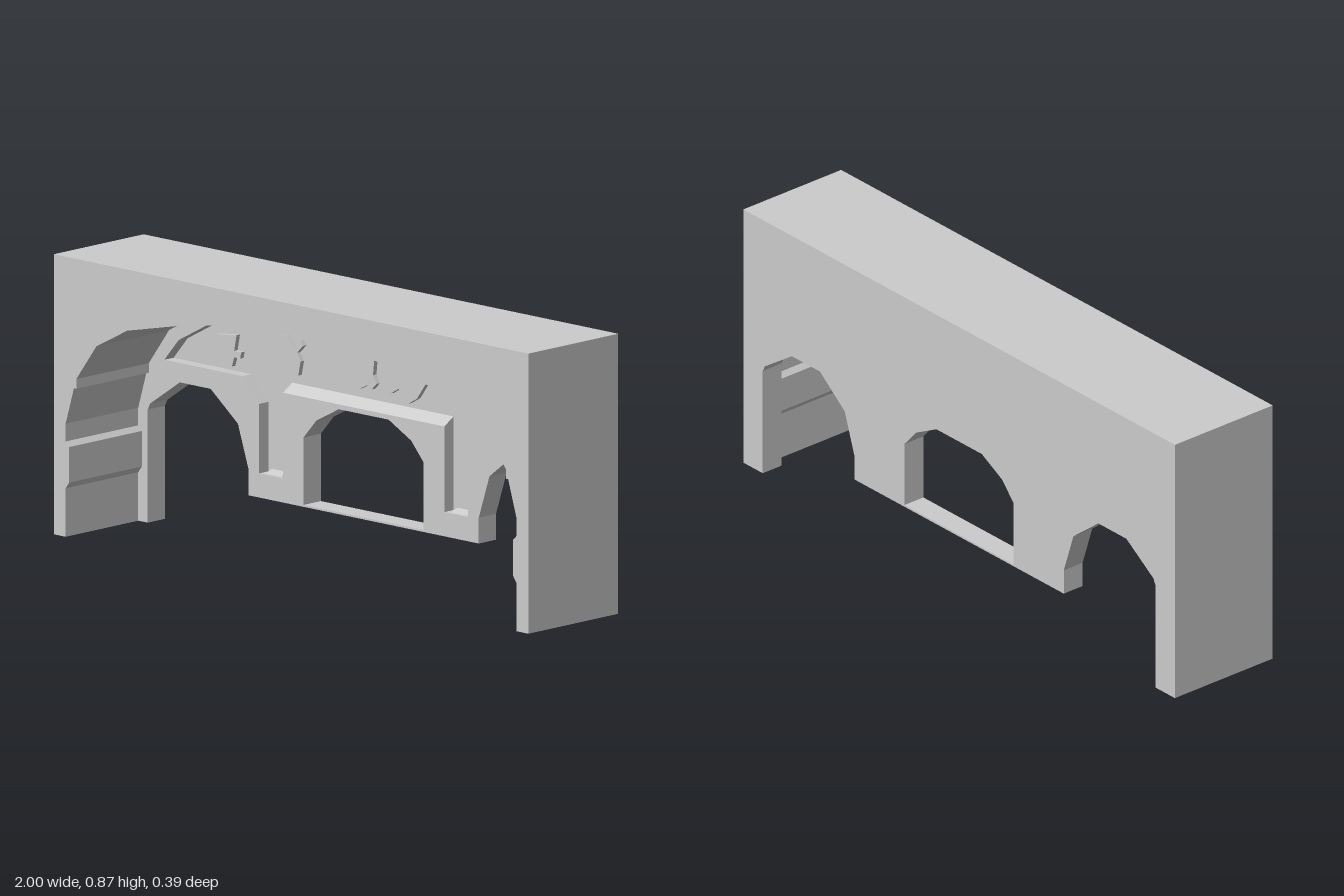
import * as THREE from 'three';

const BACK = -0.195, FLOOR = -0.16, WALL = -0.12, FRONT = 0.195;

// Mirrors a half outline (ordered from -x towards the middle) into a full one.
const mirror = (half) => half.concat(half.map(([x, y]) => [-x, y]).reverse());
const toShape = (pts, Type = THREE.Shape) => new Type(pts.map(([x, y]) => new THREE.Vector2(x, y)));

export function createModel() {
  const group = new THREE.Group();
  const material = new THREE.MeshStandardMaterial({ color: 0xcccccc, flatShading: true });

  function addMesh(name, geometry) {
    const mesh = new THREE.Mesh(geometry, material);
    mesh.name = name;
    group.add(mesh);
    return mesh;
  }

  // Slab between two depths, with optional holes.
  function addSlab(name, pts, z0, z1, holes = []) {
    const shape = toShape(pts);
    shape.holes = holes.map((h) => toShape(h, THREE.Path));
    const geometry = new THREE.ExtrudeGeometry(shape, { depth: z1 - z0, bevelEnabled: false });
    geometry.translate(0, 0, z0);
    return addMesh(name, geometry);
  }

  // Triangular profile in (z, y), swept along x.
  function addWedge(name, profile, x0, x1) {
    const shape = toShape(profile.map(([z, y]) => [-z, y]));
    const geometry = new THREE.ExtrudeGeometry(shape, { depth: x1 - x0, bevelEnabled: false });
    geometry.rotateY(Math.PI / 2);
    geometry.translate(x0, 0, 0);
    // rotateY sends the profile axis to -z, so the negated z comes out right
    addMesh(name, geometry);
  }

  // Back wall outline with two open side arches
  const wallOutline = mirror([
    [-1, 0.867], [-1, 0], [-0.91, 0], [-0.91, 0.35], [-0.9, 0.37], [-0.775, 0.455],
    [-0.645, 0.455], [-0.53, 0.365], [-0.485, 0.23], [-0.485, 0.15],
  ]);
  const windowHole = mirror([
    [-0.253, 0.156], [-0.253, 0.365], [-0.2, 0.425], [-0.105, 0.475],
  ]);

  // Recessed panel under the vault, running down into two pilaster channels
  const recess = [
    [-0.34, 0.49], [-0.34, 0.225], [-0.44, 0.225], [-0.44, 0.44], [-0.51, 0.515],
    [-0.84, 0.515], [-0.78, 0.585], [-0.65, 0.655], [-0.42, 0.715], [-0.2, 0.75], [-0.07, 0.757],
  ];
  addSlab('backWall', wallOutline, BACK, FLOOR, [windowHole]);
  addSlab('wallFacing', wallOutline, FLOOR, WALL, [windowHole, mirror(recess)]);

  // Sloped ledge above the window, and small sloped sills in the channels
  addWedge('windowLedge', [[FLOOR, 0.49], [WALL, 0.49], [FLOOR, 0.515]], -0.34, 0.34);
  for (const side of [-1, 1]) {
    addWedge('channelSill', [[FLOOR, 0.225], [WALL - 0.01, 0.225], [FLOOR, 0.235]],
      side * 0.39 - 0.035, side * 0.39 + 0.035);
  }

  // Deep vault in front of the wall
  addSlab('vault', mirror([
    [-1, 0.867], [-1, 0], [-0.95, 0], [-0.95, 0.15], [-0.935, 0.17], [-0.935, 0.28],
    [-0.95, 0.295], [-0.95, 0.35], [-0.915, 0.465], [-0.905, 0.465], [-0.905, 0.495],
    [-0.82, 0.61], [-0.69, 0.678], [-0.47, 0.727], [-0.23, 0.765], [-0.06, 0.776],
  ]), WALL, FRONT);

  // Leaf reliefs on the recessed panel, in hundredths of a unit
  const reliefs = [
    [[-71, 59], [-65, 62], [-56, 63], [-57, 58], [-54, 58], [-54.5, 56], [-57, 56], [-58, 53], [-62, 52.5], [-68, 55]],
    [[-47, 52.5], [-45, 59.5], [-39, 65.5], [-35, 66.5], [-32, 63], [-29, 65.5], [-28, 64], [-30.5, 61.5],
      [-29, 59], [-30, 54.5], [-35, 53]],
    [[-18, 72], [-11, 71], [-2.5, 68], [2, 64], [1.5, 59.5], [3, 57], [1, 55], [-1, 56], [-4, 54.5], [-12, 58.5], [-16.5, 64]],
    [[10, 63], [16, 65.5], [24.5, 66], [24, 60.5], [20, 55], [16.5, 53], [12, 54.5], [12.5, 57], [9, 55], [8.5, 57], [10.5, 58]],
    [[36, 65], [43, 66.5], [53.5, 66.5], [50, 59.5], [45, 53], [42, 52.5], [42, 54.5], [36, 53], [35, 54.5], [37.5, 56], [35, 60]],
    [[59.5, 62], [64, 63], [68.5, 61.5], [71, 58.5], [73, 53.5], [66.5, 52.5], [60, 54], [59, 56], [61, 58], [58, 60.5], [58.5, 62]],
  ];
  for (const pts of reliefs) {
    addSlab('leafRelief', pts.map(([x, y]) => [x / 100, y / 100]), FLOOR, FLOOR + 0.015);
  }
  return group;
}
